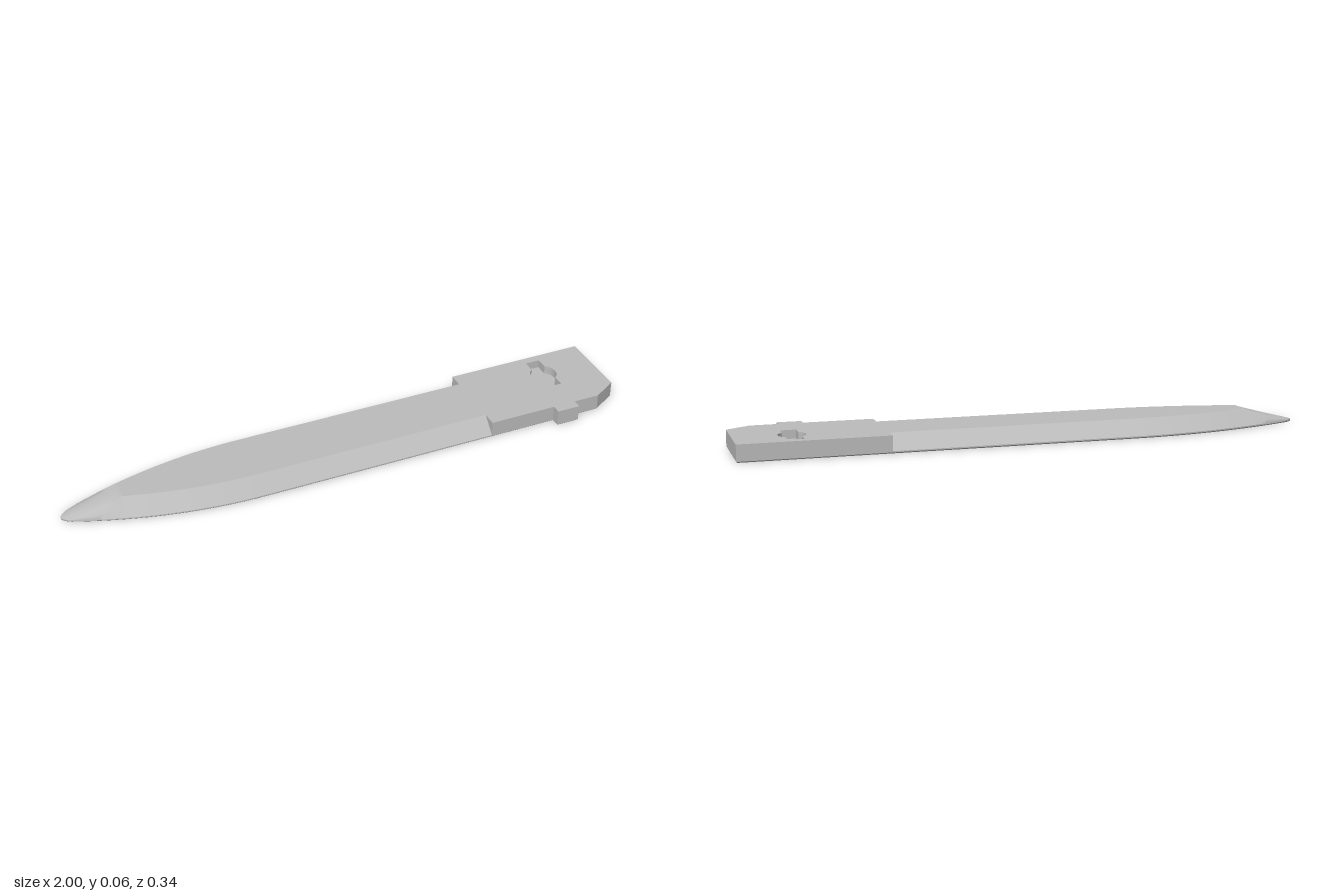
import * as THREE from 'three';
import { toCreasedNormals } from 'three/addons/utils/BufferGeometryUtils.js';

const TOP = 0.06, LIP = 0.008, MID = -0.0165, HALF = 0.155, JOIN = 0.495;
const { lerp, clamp } = THREE.MathUtils;

// half width of the blade outline at x: straight, then a parabola, then a rounded nose
function halfWidth(x) {
  const d = Math.max(0, -0.345 - x);
  const nose = clamp((-0.97 - x) / 0.03, 0, 1);
  return Math.max(0.0005, (HALF - 0.32 * d * d) * Math.sqrt(1 - nose * nose));
}

// cross-section [y, z] with bevelled sides, becoming round towards the tip
function section(x) {
  const w = halfWidth(x);
  const t = clamp((-0.8 - x) / 0.2, 0, 1);
  const rise = (TOP - LIP) * (1 - t);
  const inner = Math.max(w - rise, 0);
  const round = Math.min(1, t * 1.5);
  const inset = Math.min(0.004, w * 0.3);
  const ring = [[0, -w + inset], [0.004, -w]];
  for (let k = 0; k <= 8; k++) {
    const s = Math.min(k, 8 - k, 2) / 2;
    const zFlat = k < 2 ? -lerp(w, inner, s) : k > 6 ? lerp(w, inner, s) : inner * (k - 4) / 2;
    const a = Math.PI * k / 8;
    ring.push([
      LIP + rise * lerp(s, Math.sin(a), round),
      lerp(zFlat, -w * Math.cos(a), round),
    ]);
  }
  ring.push([0.004, w], [0, w - inset]);
  return ring;
}

function bladeGeometry() {
  const xs = [-1, -0.998, -0.994, -0.988, -0.98, -0.97];
  for (let i = 1; i <= 10; i++) xs.push(-0.97 + 0.017 * i);
  xs.push(-0.795);
  for (let i = 1; i <= 15; i++) xs.push(-0.795 + 0.03 * i);
  xs.push(0.5);
  const pos = [], index = [];
  let n = 0;
  xs.forEach((x) => {
    const ring = section(x);
    n = ring.length;
    ring.forEach(([y, z]) => pos.push(x, y, z + MID));
  });
  for (let i = 0; i < xs.length - 1; i++) {
    for (let j = 0; j < n; j++) {
      const a = i * n + j, b = i * n + (j + 1) % n;
      index.push(a, b, a + n, b, b + n, a + n);
    }
  }
  const geo = new THREE.BufferGeometry();
  geo.setAttribute('position', new THREE.Float32BufferAttribute(pos, 3));
  geo.setIndex(index);
  return toCreasedNormals(geo, 0.6);
}

// handle plan with clipped corner and side tab, given as [x, z]
function handleShape() {
  const back = MID - HALF, front = MID + HALF;
  const plan = [
    [JOIN, front], [0.737, front], [0.737, 0.17], [0.82, 0.17], [0.82, front],
    [0.915, front], [1, 0.088], [1, back], [JOIN, back],
  ];
  return new THREE.Shape(plan.map(([x, z]) => new THREE.Vector2(x, -z)));
}

// slot with a round widening in the middle
function slotPath() {
  const cx = 0.805, cy = 0.06, w = 0.027, l = 0.082, r = 0.047;
  const a = Math.acos(w / r);
  const p = new THREE.Path();
  p.moveTo(cx - w, cy - l);
  p.lineTo(cx + w, cy - l);
  p.absarc(cx, cy, r, -a, a, false);
  p.lineTo(cx + w, cy + l);
  p.lineTo(cx - w, cy + l);
  p.absarc(cx, cy, r, Math.PI - a, Math.PI + a, false);
  p.closePath();
  return p;
}

export function createModel() {
  const group = new THREE.Group();
  const grey = new THREE.MeshStandardMaterial({ color: 0xbcbcbc });
  grey.name = 'plainGrey';
  const add = (name, geo) => {
    const mesh = new THREE.Mesh(geo, grey);
    mesh.name = name;
    group.add(mesh);
  };

  add('blade', bladeGeometry());

  // lower half of the handle: solid, bottom edge eased, top kept flat
  const floor = 0.03, ease = 0.004;
  const lower = new THREE.ExtrudeGeometry(handleShape(), {
    depth: floor - ease, bevelEnabled: true, bevelSegments: 1,
    bevelSize: ease, bevelThickness: ease, bevelOffset: -ease,
  });
  lower.rotateX(-Math.PI / 2).translate(0, ease, 0);
  const p = lower.attributes.position;
  for (let i = 0; i < p.count; i++) p.setY(i, Math.min(p.getY(i), floor));
  lower.computeVertexNormals();
  add('handleBase', lower);

  // upper half of the handle, pierced by the slot
  const shape = handleShape();
  shape.holes.push(slotPath());
  const upper = new THREE.ExtrudeGeometry(shape, {
    depth: TOP - floor, bevelEnabled: false, curveSegments: 10,
  });
  upper.rotateX(-Math.PI / 2).translate(0, floor, 0);
  add('handleTop', upper);

  return group;
}
